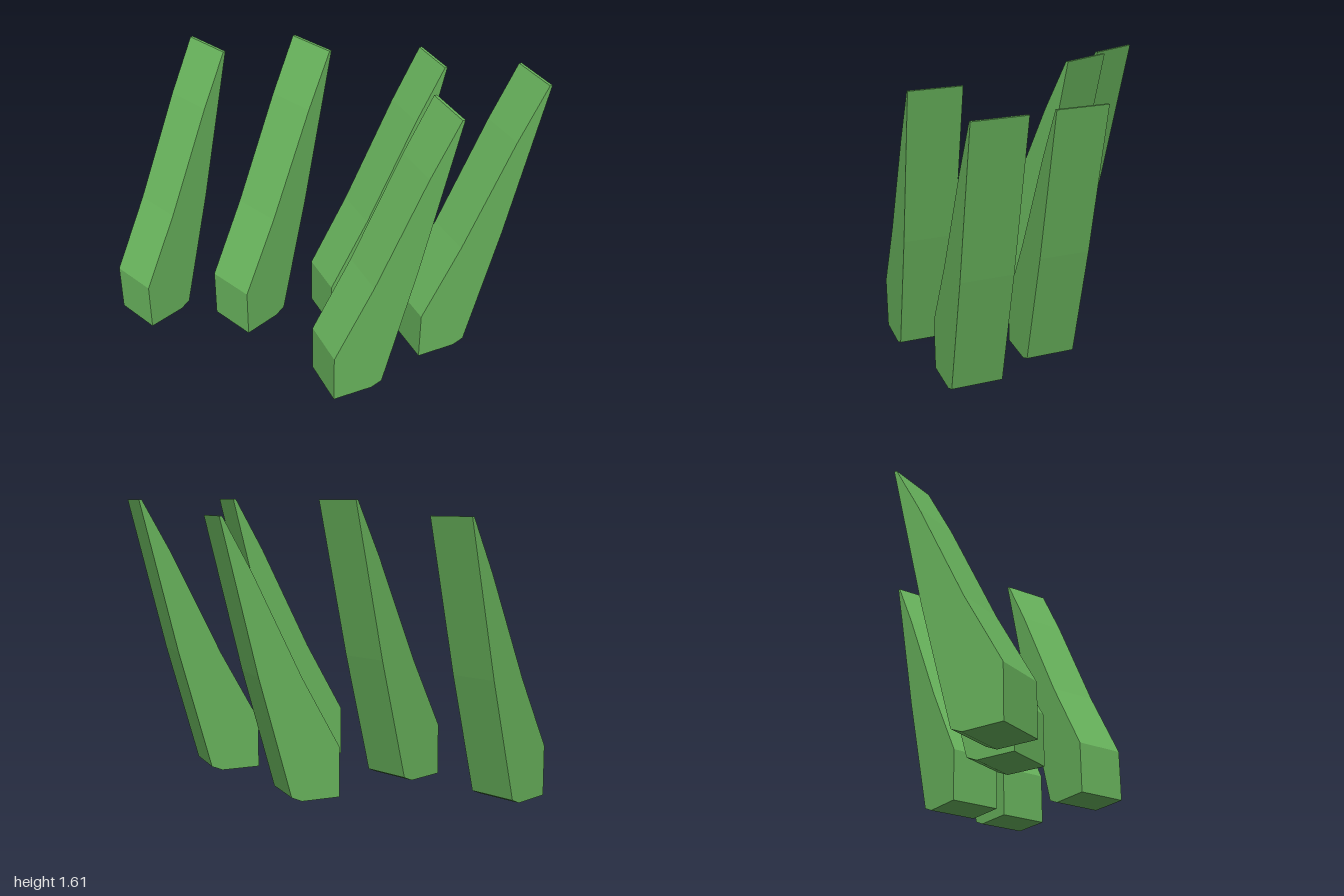
import * as THREE from 'three';

// Side profile of one leaning blade, measured from its lower back corner
const PROFILE = [
  [0, 0], [0.22, 0], [0.28, 0.026], [0.46, 0.69], [0.66, 1.527],
  [0.645, 1.527], [0.49, 1.24], [0.215, 0.67], [0, 0.277],
];
const WIDTH = 0.27;

// Corner position (x, y, z at mid width) and turn about y in degrees
const BLADES = [
  { name: 'backLeaningBlade', at: [-0.95, 0, -0.402], turn: 21.6 },
  { name: 'middleTurnedBlade', at: [-0.495, 0.08, -0.03], turn: 21.6 },
  { name: 'frontBlade', at: [-0.23, 0.08, 0.632], turn: 0 },
  { name: 'middleBlade', at: [0.045, 0, 0.007], turn: 0.7 },
  { name: 'frontLeftBlade', at: [0.335, 0.08, 0.52], turn: 0.7 },
];

export function createModel() {
  const group = new THREE.Group();
  group.name = 'grassBlades';

  const green = new THREE.MeshStandardMaterial({ color: 0x68b35c });
  green.name = 'grass green';

  // One faceted blade shape shared by the whole tuft
  const shape = new THREE.Shape(PROFILE.map(([x, y]) => new THREE.Vector2(x, y)));
  const geometry = new THREE.ExtrudeGeometry(shape, { depth: WIDTH, bevelEnabled: false });
  geometry.translate(0, 0, -WIDTH / 2);

  for (const { name, at, turn } of BLADES) {
    const blade = new THREE.Mesh(geometry, green);
    blade.name = name;
    blade.position.set(...at);
    blade.rotation.y = THREE.MathUtils.degToRad(turn);
    group.add(blade);
  }
  return group;
}
